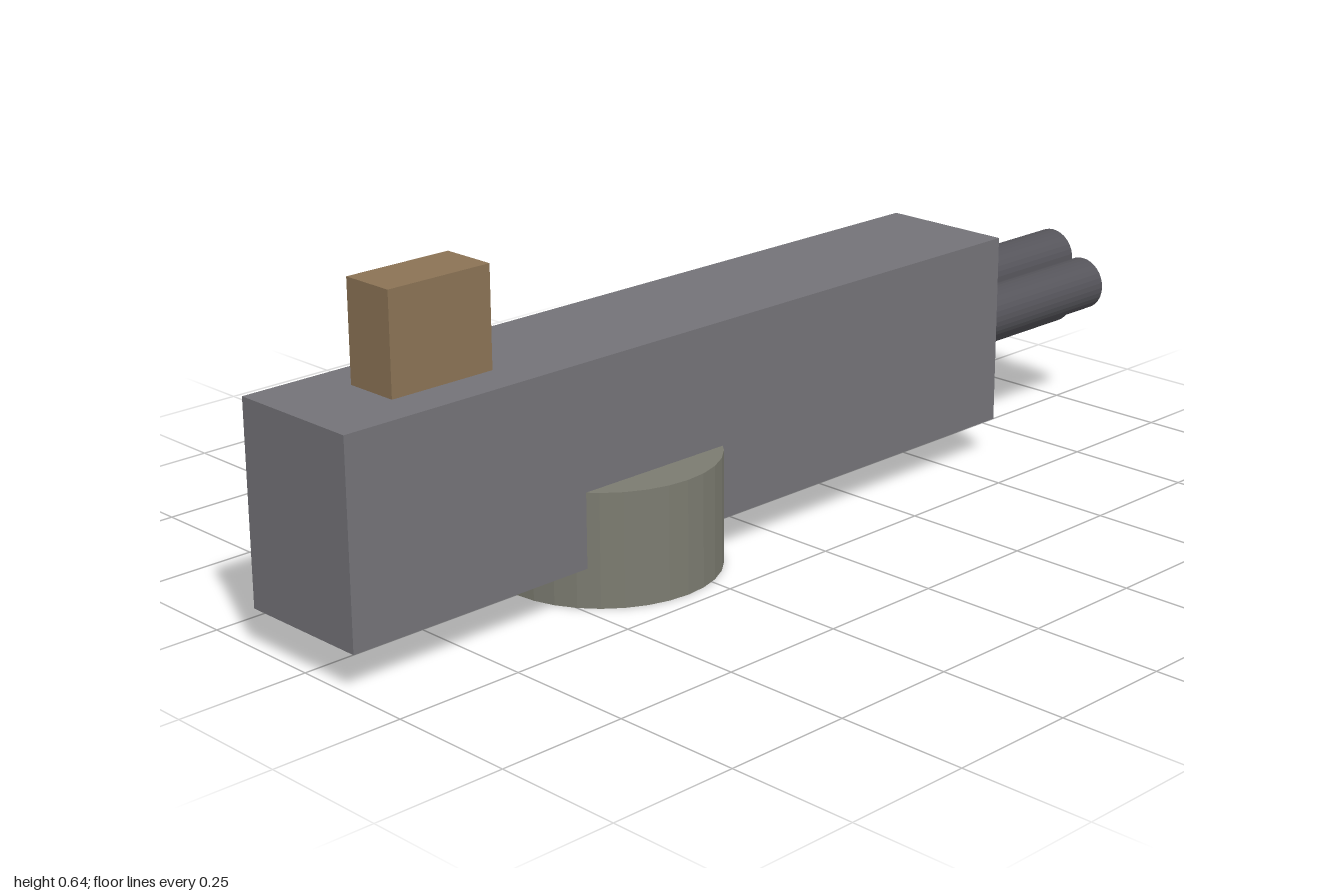
import * as THREE from 'three';

const material = (color) => new THREE.MeshStandardMaterial({ color, flatShading: true });

function addPart(parent, name, geometry, mat, x, y, z) {
  const mesh = new THREE.Mesh(geometry, mat);
  mesh.name = name;
  mesh.position.set(x, y, z);
  parent.add(mesh);
  return mesh;
}

export function createModel() {
  const model = new THREE.Group();
  model.name = 'model';

  // Long rectangular housing
  addPart(model, 'body', new THREE.BoxGeometry(0.27, 0.378, 1.62), material(0x747378), 0, 0.264, 0.19);

  // Round drum under the housing, partly sunk into it
  addPart(model, 'drum', new THREE.CylinderGeometry(0.216, 0.216, 0.217, 32), material(0x7b7b70), 0, 0.1085, 0.32);

  // Upright block on top
  addPart(model, 'topBlock', new THREE.BoxGeometry(0.108, 0.189, 0.216), material(0x8b7355), 0, 0.5465, 0.73);

  // Cluster of three barrels at the back, meeting at the axis
  const barrels = new THREE.Group();
  barrels.name = 'barrels';
  barrels.position.set(0, 0.264, -0.8);
  model.add(barrels);
  const barrelMaterial = material(0x55545a);
  const barrelGeometry = new THREE.CylinderGeometry(0.054, 0.054, 0.4, 32).rotateX(Math.PI / 2);
  for (let i = 0; i < 3; i++) {
    const angle = (i * Math.PI * 2) / 3;
    addPart(barrels, `barrel${i + 1}`, barrelGeometry, barrelMaterial, 0.054 * Math.cos(angle), 0.054 * Math.sin(angle), 0);
  }

  return model;
}
